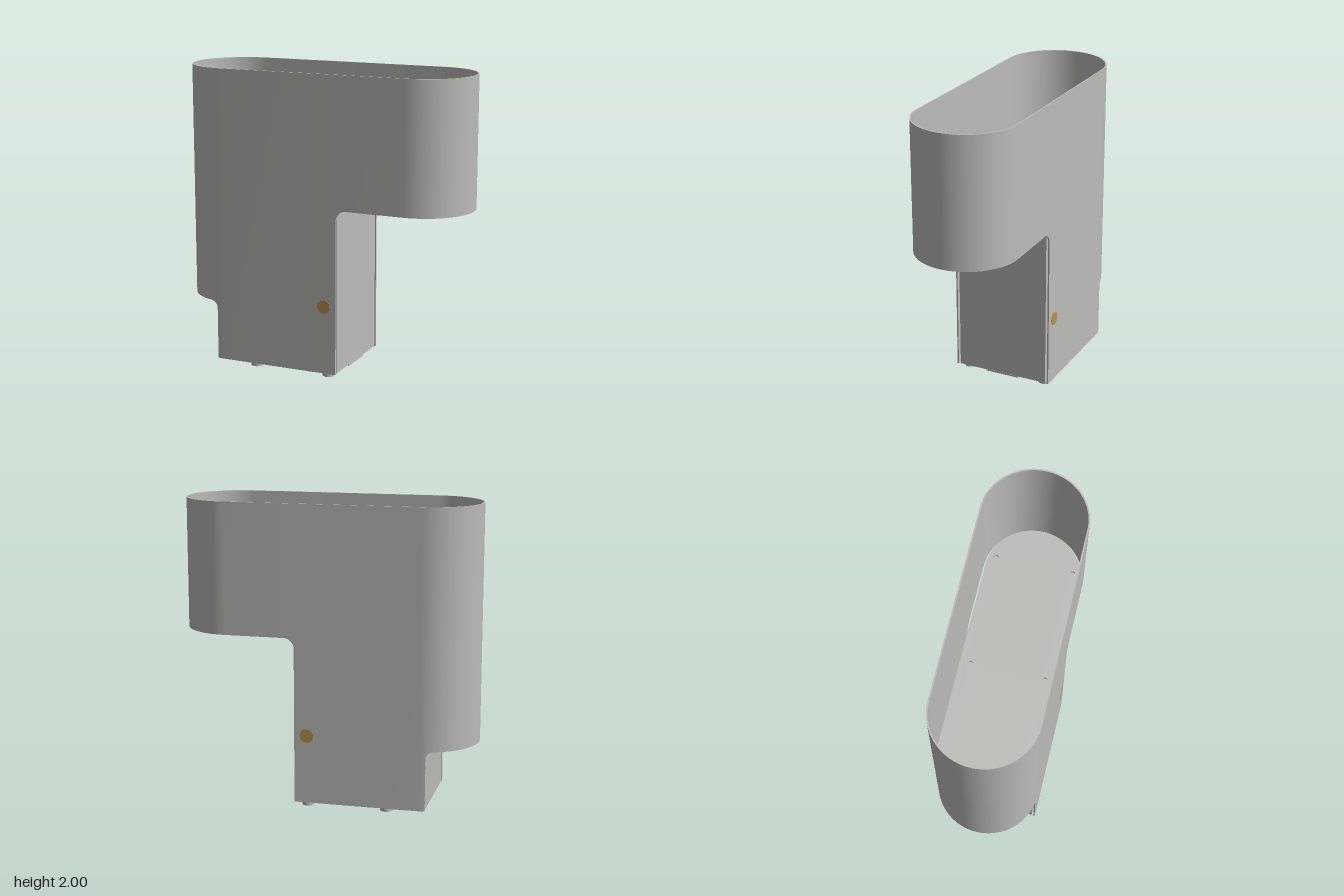
import * as THREE from 'three';
import { toCreasedNormals } from 'three/addons/utils/BufferGeometryUtils.js';

const R = 0.344, C = 0.645, T = 0.01; // shell radius, cap centre, sheet thickness

const grey = new THREE.MeshStandardMaterial({ color: 0xbcbcb7, side: THREE.DoubleSide });
grey.name = 'warm grey sheet';
const brass = new THREE.MeshStandardMaterial({ color: 0xb8924e });
brass.name = 'brass';

function add(parent, name, geometry, material, x = 0, y = 0, z = 0) {
  const mesh = new THREE.Mesh(geometry, material);
  mesh.name = name;
  mesh.position.set(x, y, z);
  parent.add(mesh);
  return mesh;
}

// Lower edge of the shell: two raised ends with filleted inner corners
function lowerEdge(x) {
  if (x <= -0.74) return 0.43;
  if (x <= -0.69) return 0.38 + Math.sqrt(Math.max(0, 0.0025 - (x + 0.74) ** 2));
  if (x < 0.18) return 0.03;
  if (x < 0.25) return 1.06 + Math.sqrt(Math.max(0, 0.0049 - (0.25 - x) ** 2));
  return 1.13;
}

// Stadium-shaped thin wall whose lower edge follows lowerEdge
function shellGeometry() {
  const xs = [];
  for (let i = 0; i <= 32; i++) {
    const d = R * Math.cos((i / 32) * Math.PI / 2);
    xs.push(-C - d, C + d);
  }
  for (let i = 0; i <= 8; i++) {
    const a = (i / 8) * Math.PI / 2;
    xs.push(-0.74 + 0.05 * Math.sin(a), 0.25 - 0.07 * Math.cos(a));
  }
  xs.sort((a, b) => a - b);
  const half = [];
  for (const x of xs) {
    const b = lowerEdge(x);
    if (Math.abs(x - 0.18) < 1e-6) half.push([x, 0.03], [x, 1.06]);
    else if (Math.abs(x + 0.69) < 1e-6) half.push([x, 0.38], [x, 0.03]);
    else half.push([x, b]);
  }
  const section = ([x, b], side) => {
    const d = Math.sign(x) * Math.max(0, Math.abs(x) - C);
    const nx = d / R, nz = side * Math.sqrt(Math.max(0, 1 - nx * nx));
    const z = nz * R;
    return {
      ob: [x, b, z], ot: [x, 2, z],
      ib: [x - nx * T, b, z - nz * T], it: [x - nx * T, 2, z - nz * T],
    };
  };
  const loop = [...half.map(p => section(p, 1)), ...half.slice().reverse().map(p => section(p, -1))];
  const pos = [];
  const tri = (a, b, c) => {
    const [A, B, D] = [a, b, c].map(v => new THREE.Vector3(...v));
    if (B.sub(A).cross(D.sub(A)).length() > 1e-9) pos.push(...a, ...b, ...c);
  };
  const quad = (a, b, c, d) => { tri(a, b, c); tri(a, c, d); };
  loop.forEach((p, i) => {
    const q = loop[(i + 1) % loop.length];
    quad(p.ob, q.ob, q.ot, p.ot); // outside
    quad(q.ib, p.ib, p.it, q.it); // inside
    quad(p.ot, q.ot, q.it, p.it); // top rim
    quad(p.ib, q.ib, q.ob, p.ob); // lower rim
  });
  const g = new THREE.BufferGeometry();
  g.setAttribute('position', new THREE.Float32BufferAttribute(pos, 3));
  return toCreasedNormals(g, Math.PI / 6);
}

// Horizontal plate with round ends, optionally cut off square at xMax
function plateGeometry(r, xMax, thickness, holes = []) {
  const s = new THREE.Shape();
  s.absarc(-C, 0, r, Math.PI / 2, Math.PI * 1.5, false);
  if (xMax === undefined) s.absarc(C, 0, r, -Math.PI / 2, Math.PI / 2, false);
  else { s.lineTo(xMax, -r); s.lineTo(xMax, r); }
  s.closePath();
  for (const [x, z] of holes) {
    const h = new THREE.Path();
    h.absarc(x, z, 0.017, 0, Math.PI * 2, true);
    s.holes.push(h);
  }
  const g = new THREE.ExtrudeGeometry(s, { depth: thickness, bevelEnabled: false, curveSegments: 32 });
  g.rotateX(-Math.PI / 2);
  return toCreasedNormals(g, Math.PI / 6);
}

export function createModel() {
  const model = new THREE.Group();
  model.name = 'cantileveredBin';
  add(model, 'outerShell', shellGeometry(), grey);

  // Inner column, shelf with screw holes and lower end floor
  const core = new THREE.Group();
  core.name = 'innerCore';
  model.add(core);
  add(core, 'column', new THREE.BoxGeometry(0.865, 1.11, 0.64), grey, -0.2545, 0.588);
  const holes = [];
  for (const s of [-1, 1]) holes.push([-0.73, 0.25 * s], [-0.07, 0.25 * s], [0.71, 0.263 * s]);
  add(core, 'shelf', plateGeometry(0.322, undefined, 0.015, holes), grey, 0, 1.145);
  add(core, 'shelfBacking', plateGeometry(0.31, undefined, 0.004), grey, 0, 1.14);
  add(core, 'endFloor', plateGeometry(0.322, -0.68, 0.015), grey, 0, 0.445);

  // Details repeated on both long sides
  const knob = new THREE.CylinderGeometry(0.045, 0.045, 0.026, 32).rotateX(Math.PI / 2);
  const foot = new THREE.CylinderGeometry(0.04, 0.04, 0.028, 28);
  const stud = new THREE.CylinderGeometry(0.018, 0.018, 0.018, 20);
  for (const s of [-1, 1]) {
    add(model, 'lockButton', knob, brass, 0.097, 0.485, s * 0.334);
    for (const x of [-0.425, 0.103]) add(model, 'foot', foot, grey, x, 0.014, s * 0.28);
    for (const x of [-0.33, 0.03]) add(model, 'stud', stud, grey, x, 0.026, s * 0.17);
    for (const [x, w] of [[-0.495, 0.065], [-0.1, 0.06], [0.097, 0.09]])
      add(model, 'spacerTab', new THREE.BoxGeometry(w, 0.01, 0.018), grey, x, 0.036, s * 0.327);
  }
  // Bottom cover and its centre fixings
  add(model, 'bottomCover', new THREE.BoxGeometry(0.5, 0.01, 0.24), grey, -0.07, 0.03);
  for (const x of [-0.515, 0.1])
    add(model, 'centreStud', new THREE.CylinderGeometry(0.025, 0.025, 0.024, 20), grey, x, 0.023);
  return model;
}
